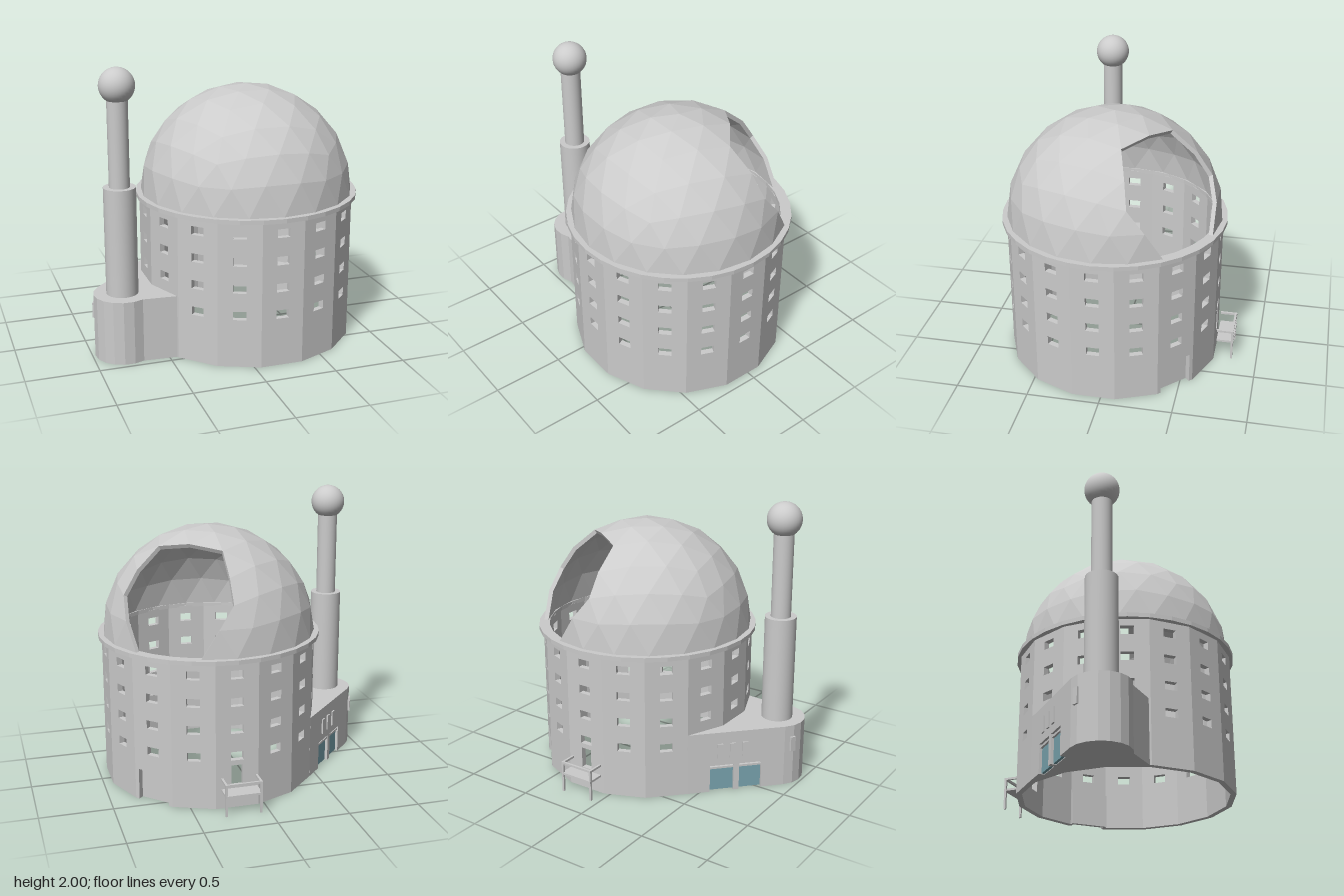
import * as THREE from 'three';

const CX = 0.19, CZ = 0.05; // drum axis
const grey = new THREE.MeshStandardMaterial({ color: 0xcccccc });
const glass = new THREE.MeshStandardMaterial({ color: 0x7aa5b0 });

function add(parent, name, geometry, x = 0, y = 0, z = 0, material = grey) {
  const mesh = new THREE.Mesh(geometry, material);
  mesh.name = name;
  mesh.position.set(x, y, z);
  parent.add(mesh);
  return mesh;
}

function addGroup(parent, name, x = 0, y = 0, z = 0) {
  const group = new THREE.Group();
  group.name = name;
  group.position.set(x, y, z);
  parent.add(group);
  return group;
}

const box = (w, h, d) => new THREE.BoxGeometry(w, h, d);

// Extrudes a plan outline (x, z) downwards from y = top
function addSlab(parent, name, shape, top, depth, x = 0, z = 0) {
  const geometry = new THREE.ExtrudeGeometry(shape, { depth, bevelEnabled: false, curveSegments: 16 });
  add(parent, name, geometry, x, top, z).rotation.x = Math.PI / 2;
}

// Sixteen flat wall panels with window openings, two of them with doors
function buildDrum(parent) {
  const drum = addGroup(parent, 'drum', CX, 0, CZ);
  const half = 0.745 * Math.tan(Math.PI / 16), thick = 0.04;
  const rect = (x, y, w, h) => new THREE.Path([
    new THREE.Vector2(x - w / 2, y - h / 2), new THREE.Vector2(x - w / 2, y + h / 2),
    new THREE.Vector2(x + w / 2, y + h / 2), new THREE.Vector2(x + w / 2, y - h / 2),
  ]);
  for (let k = 0; k < 16; k++) {
    const outline = [[-half, 0]];
    if (k === 6) outline.push([-0.12, 0], [-0.12, 0.22], [0.12, 0.22], [0.12, 0]);
    outline.push([half, 0], [half, 1.03], [-half, 1.03]);
    const shape = new THREE.Shape(outline.map(([x, y]) => new THREE.Vector2(x, y)));
    const besideAnnex = k >= 11 && k <= 13;
    for (const y of [0.94, 0.75, 0.56, 0.37]) {
      if (!(besideAnnex && y < 0.4)) shape.holes.push(rect(0, y, 0.09, 0.06));
    }
    if (k === 8) shape.holes.push(rect(0, 0.23, 0.08, 0.15));
    const geometry = new THREE.ExtrudeGeometry(shape, { depth: thick, bevelEnabled: false });
    geometry.translate(0, 0, 0.745 - thick);
    add(drum, 'wallPanel', geometry).rotation.y = k * Math.PI / 8;
  }
  // Door leaf behind the side opening
  const leaf = box(0.27, 0.24, 0.03);
  leaf.translate(0, 0.12, 0.69);
  add(drum, 'sideDoor', leaf).rotation.y = 6 * Math.PI / 8;
}

// Geodesic dome shell with an opening at the back
function buildDome(parent) {
  const R = 0.75, r = 0.72, N = 4;
  const ico = (az, y, h) => new THREE.Vector3(Math.cos(az) * h, y, -Math.sin(az) * h);
  const deg = Math.PI / 180, s = Math.sqrt(0.2);
  const pole = new THREE.Vector3(0, 1, 0);
  const U = (k) => ico((90 - 72 * k) * deg, s, 2 * s);
  const L = (k) => ico((54 - 72 * k) * deg, -s, 2 * s);
  const tris = [];

  function subdivide(a, b, c, keep) {
    const p = (i, j) => new THREE.Vector3()
      .addScaledVector(a, (N - i - j) / N).addScaledVector(b, i / N).addScaledVector(c, j / N);
    const push = (row, ...t) => {
      if (t[0].y + t[1].y + t[2].y < 0 || !keep(row)) return;
      t.forEach((v) => v.normalize());
      if (t[1].clone().sub(t[0]).cross(t[2].clone().sub(t[0])).dot(t[0]) < 0) t.reverse();
      tris.push(t);
    };
    for (let i = 0; i < N; i++) {
      for (let j = 0; i + j < N; j++) {
        push(i + j, p(i, j), p(i + 1, j), p(i, j + 1));
        if (i + j < N - 1) push(i + j + 1, p(i + 1, j), p(i + 1, j + 1), p(i, j + 1));
      }
    }
  }
  for (let k = 0; k < 5; k++) {
    subdivide(pole, U(k), U(k + 1), (row) => k !== 0 || row < 2);
    subdivide(U(k), U(k + 1), L(k), () => k !== 0);
    subdivide(L(k), L(k + 1), U(k + 1), () => true);
  }

  // Outer skin, inner skin, and walls along every open edge
  const out = [];
  const put = (v, radius) => out.push(v.x * radius, v.y * radius, v.z * radius);
  const key = (v) => [v.x, v.y, v.z].map((n) => Math.round(n * 1000) + 0).join();
  const edges = new Set();
  const eachEdge = (fn) => tris.forEach((t) => t.forEach((v, i) => fn(v, t[(i + 1) % 3])));
  eachEdge((a, b) => edges.add(key(a) + '|' + key(b)));
  for (const [a, b, c] of tris) {
    put(a, R); put(b, R); put(c, R);
    put(c, r); put(b, r); put(a, r);
  }
  eachEdge((a, b) => {
    if (edges.has(key(b) + '|' + key(a))) return;
    put(a, r); put(b, r); put(b, R);
    put(a, r); put(b, R); put(a, R);
  });
  const geometry = new THREE.BufferGeometry();
  geometry.setAttribute('position', new THREE.Float32BufferAttribute(out, 3));
  geometry.computeVertexNormals();
  add(parent, 'dome', geometry, CX, 1.05, CZ);
}

// Rounded side building with recessed glass doors and slit windows
function buildAnnex(parent) {
  const annex = addGroup(parent, 'annex');
  const drumPoint = (deg, radius) => new THREE.Vector2(
    CX + radius * Math.cos(deg * Math.PI / 180), CZ - radius * Math.sin(deg * Math.PI / 180));
  const start = drumPoint(146.25, 0.76);
  const arc = [];
  for (let i = 0; i <= 8; i++) {
    const a = (224 - i * 20.5) * Math.PI / 180;
    arc.push(new THREE.Vector2(-0.78 + 0.2 * Math.cos(a), 0.27 + 0.2 * Math.sin(a)));
  }
  const u = arc[0].clone().sub(start).normalize();
  const n = new THREE.Vector2(-u.y, u.x);
  const wallPoint = (t, d) => start.clone().addScaledVector(u, t).addScaledVector(n, d);
  const bays = [[0.16, 0.33], [0.37, 0.53]];
  const notches = bays.flatMap(([a, b]) =>
    [wallPoint(a, 0), wallPoint(a, -0.04), wallPoint(b, -0.04), wallPoint(b, 0)]);
  const rest = [...arc, new THREE.Vector2(-0.44, 0.46),
    drumPoint(213.75, 0.74), drumPoint(191.25, 0.74), drumPoint(168.75, 0.74), drumPoint(146.25, 0.74)];
  addSlab(annex, 'annexUpper', new THREE.Shape([start, ...rest]), 0.45, 0.25);
  addSlab(annex, 'annexLower', new THREE.Shape([start, ...notches, ...rest]), 0.2, 0.2);

  // Fittings on the straight wall: local x runs along it, local z points out
  const face = addGroup(annex, 'annexFront', start.x, 0, start.y);
  face.rotation.y = Math.atan2(n.x, n.y);
  for (const [a, b] of bays) {
    const mid = (a + b) / 2, w = b - a;
    add(face, 'glassDoor', box(w, 0.17, 0.02), mid, 0.09, -0.03, glass);
    add(face, 'doorTransom', box(w, 0.015, 0.03), mid, 0.18, -0.02);
  }
  for (const t of [0.23, 0.32, 0.41]) add(face, 'slitWindow', box(0.04, 0.11, 0.02), t, 0.31, 0);
  add(annex, 'endSlitWindow', box(0.04, 0.11, 0.02), -0.96, 0.31, 0.18).rotation.y = Math.atan2(-0.19, -0.09);
}

// Two-stage tower with a ball on top
function buildTower(parent) {
  const tower = addGroup(parent, 'tower', -0.78, 0, 0.27);
  add(tower, 'towerLower', new THREE.CylinderGeometry(0.11, 0.11, 0.75, 32), 0, 0.825, 0);
  add(tower, 'towerUpper', new THREE.CylinderGeometry(0.07, 0.07, 0.62, 32), 0, 1.5, 0);
  add(tower, 'towerBall', new THREE.SphereGeometry(0.12, 32, 20), 0, 1.88, 0);
}

// Raised landing with posts and rails at the back door
function buildLanding(parent) {
  const landing = addGroup(parent, 'backLanding', 0.18, 0, 0);
  add(landing, 'landingPlate', box(0.25, 0.015, 0.12), 0, 0.14, -0.77);
  add(landing, 'frontRail', box(0.25, 0.015, 0.015), 0, 0.22, -0.82);
  for (const side of [-1, 1]) {
    add(landing, 'post', box(0.015, 0.22, 0.015), side * 0.12, 0.11, -0.82);
    add(landing, 'sideRail', box(0.015, 0.015, 0.12), side * 0.12, 0.22, -0.77);
  }
}

export function createModel() {
  const model = new THREE.Group();
  model.name = 'observatory';
  buildDrum(model);
  // Flat ring between drum and dome
  const ring = new THREE.Shape().absarc(0, 0, 0.785, 0, Math.PI * 2, false);
  ring.holes.push(new THREE.Path().absarc(0, 0, 0.71, 0, Math.PI * 2, true));
  addSlab(model, 'rimRing', ring, 1.05, 0.03, CX, CZ);
  buildDome(model);
  buildAnnex(model);
  buildTower(model);
  buildLanding(model);
  return model;
}
